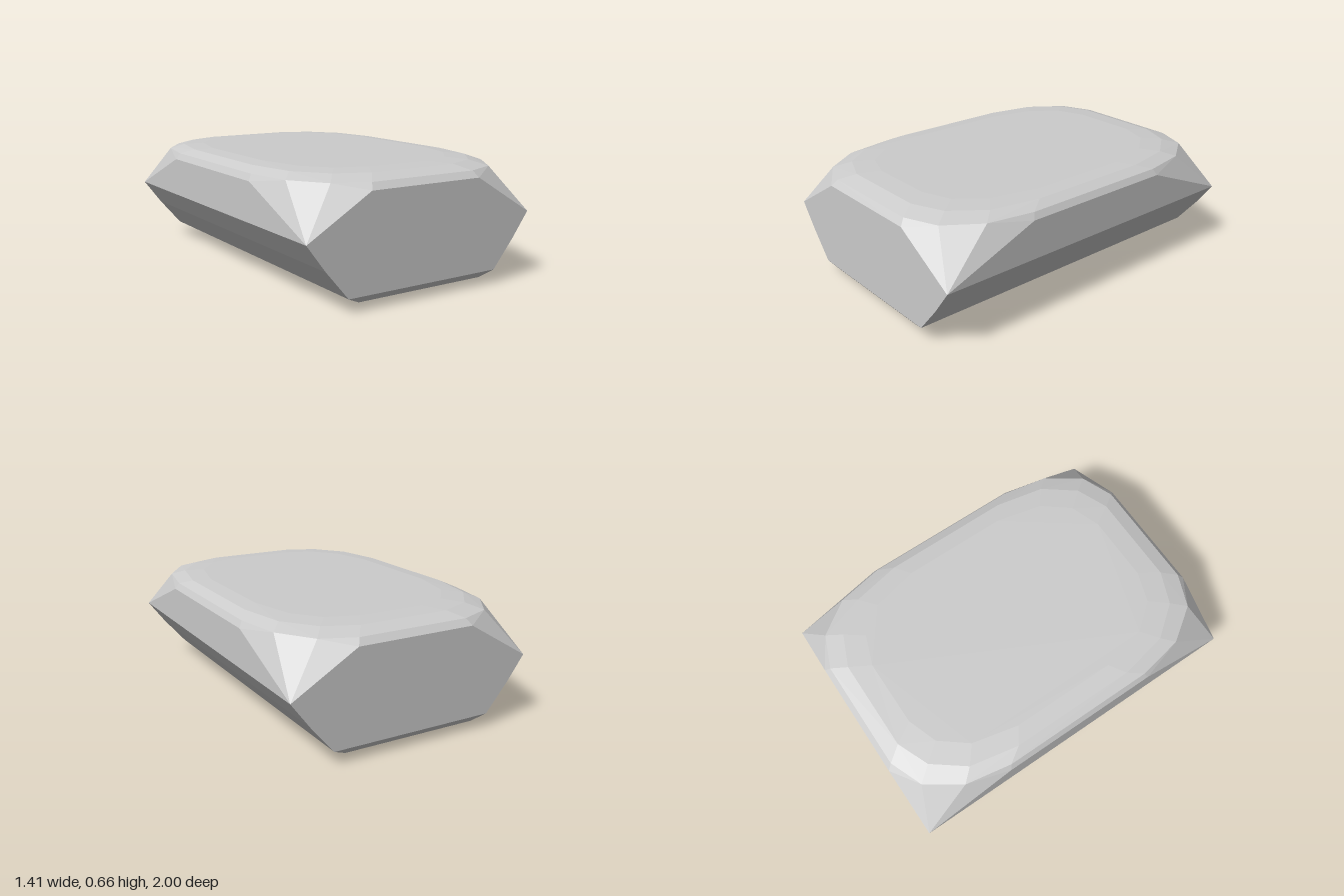
import * as THREE from 'three';
import { ConvexGeometry } from 'three/addons/geometries/ConvexGeometry.js';

export function createModel() {
  // One quarter of the faceted stone, as [x, y, z] corners by level
  const quarter = [
    // underside, rounding up to the end faces
    [0.31, 0, 0.78], [0.345, 0.012, 0.89], [0.39, 0.04, 0.97], [0.47, 0.077, 1],
    // flared flank and the widest corner
    [0.6, 0.23, 1], [0.705, 0.37, 1],
    // upper edges of the end face and side face
    [0.34, 0.585, 1], [0.705, 0.585, 0.46],
    // outer bevel ring
    [0.32, 0.62, 0.97], [0.505, 0.62, 0.895], [0.637, 0.62, 0.705], [0.685, 0.62, 0.445],
    // inner bevel ring
    [0.26, 0.649, 0.885], [0.44, 0.649, 0.81], [0.575, 0.649, 0.635], [0.63, 0.649, 0.36],
    // rim of the top face
    [0.19, 0.658, 0.77], [0.36, 0.658, 0.71], [0.48, 0.658, 0.56], [0.54, 0.658, 0.3],
  ];

  // Mirror the quarter across both axes and wrap it in flat facets
  const points = [];
  for (const [x, y, z] of quarter)
    for (const sx of [1, -1])
      for (const sz of [1, -1]) points.push(new THREE.Vector3(x * sx, y, z * sz));

  const stone = new THREE.Mesh(
    new ConvexGeometry(points),
    new THREE.MeshStandardMaterial({ color: 0xcccccc, flatShading: true })
  );
  stone.name = 'facetedStone';

  const group = new THREE.Group();
  group.name = 'stoneBlock';
  group.add(stone);
  return group;
}
